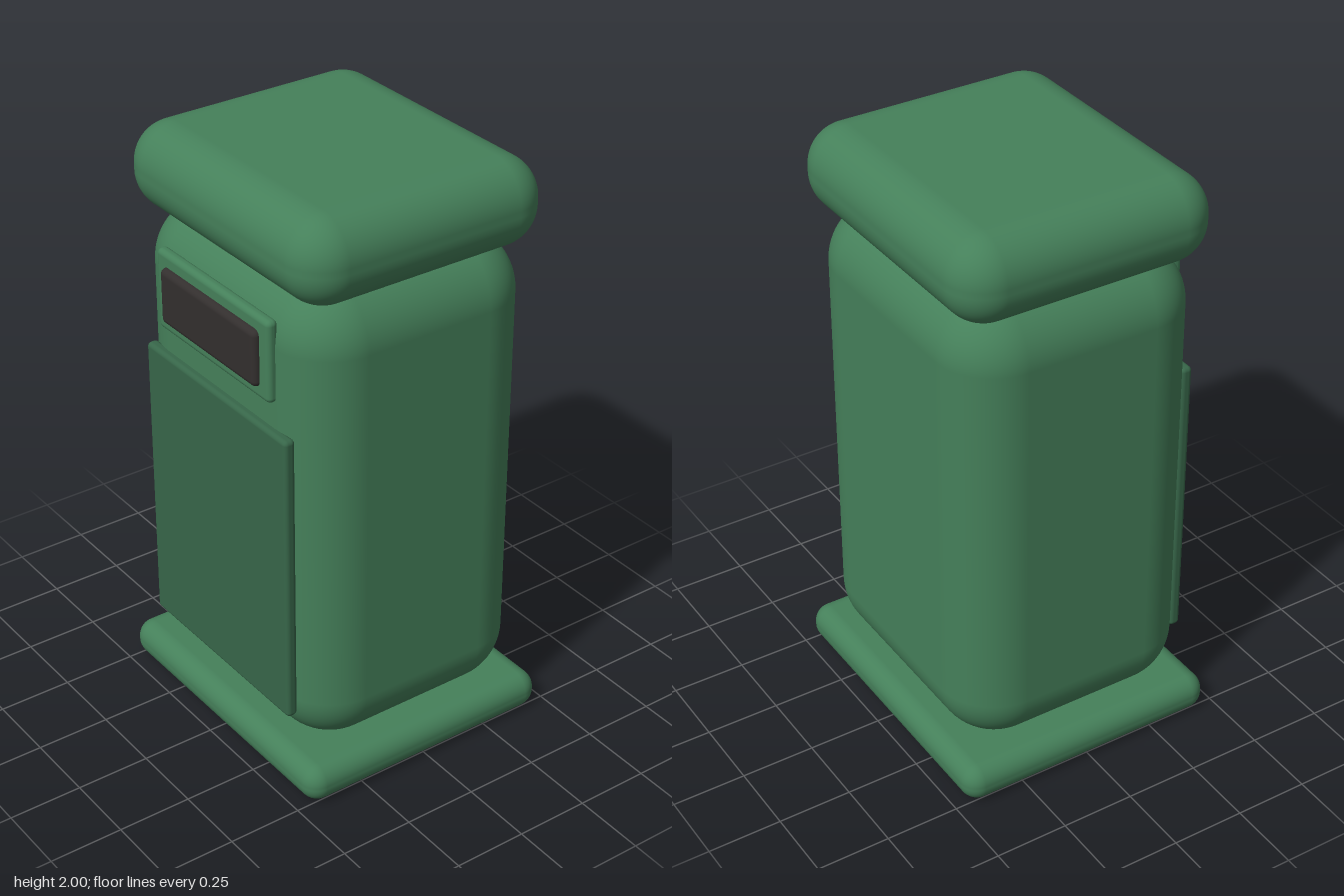
import * as THREE from 'three';
import { RoundedBoxGeometry } from 'three/addons/geometries/RoundedBoxGeometry.js';

const paint = (color) => new THREE.MeshStandardMaterial({ color });

export function createModel() {
  const model = new THREE.Group();
  model.name = 'litterBin';
  const green = paint(0x45805a);
  const darkGreen = paint(0x376649);
  const black = paint(0x332f2e);

  // Rounded block given by its half width and its y and z ranges
  function block(name, halfWidth, [y0, y1], [z0, z1], radius, material, segments = 6) {
    const geometry = new RoundedBoxGeometry(halfWidth * 2, y1 - y0, z1 - z0, segments, radius);
    const mesh = new THREE.Mesh(geometry, material);
    mesh.name = name;
    mesh.position.set(0, (y0 + y1) / 2, (z0 + z1) / 2);
    model.add(mesh);
  }

  // Plinth, main housing and lid
  block('base', 0.53, [0, 0.13], [-0.465, 0.465], 0.06, green);
  block('body', 0.49, [0.115, 1.75], [-0.425, 0.425], 0.2, green, 8);
  block('lid', 0.51, [1.71, 2], [-0.445, 0.445], 0.135, green, 8);

  // Service door, slot surround and dark slot on the front
  block('door', 0.38, [0.265, 1.28], [0.41, 0.45], 0.015, darkGreen, 3);
  block('slotFrame', 0.3, [1.37, 1.645], [0.41, 0.45], 0.018, green, 3);
  block('slot', 0.255, [1.41, 1.6], [0.41, 0.47], 0.02, black, 3);

  return model;
}
